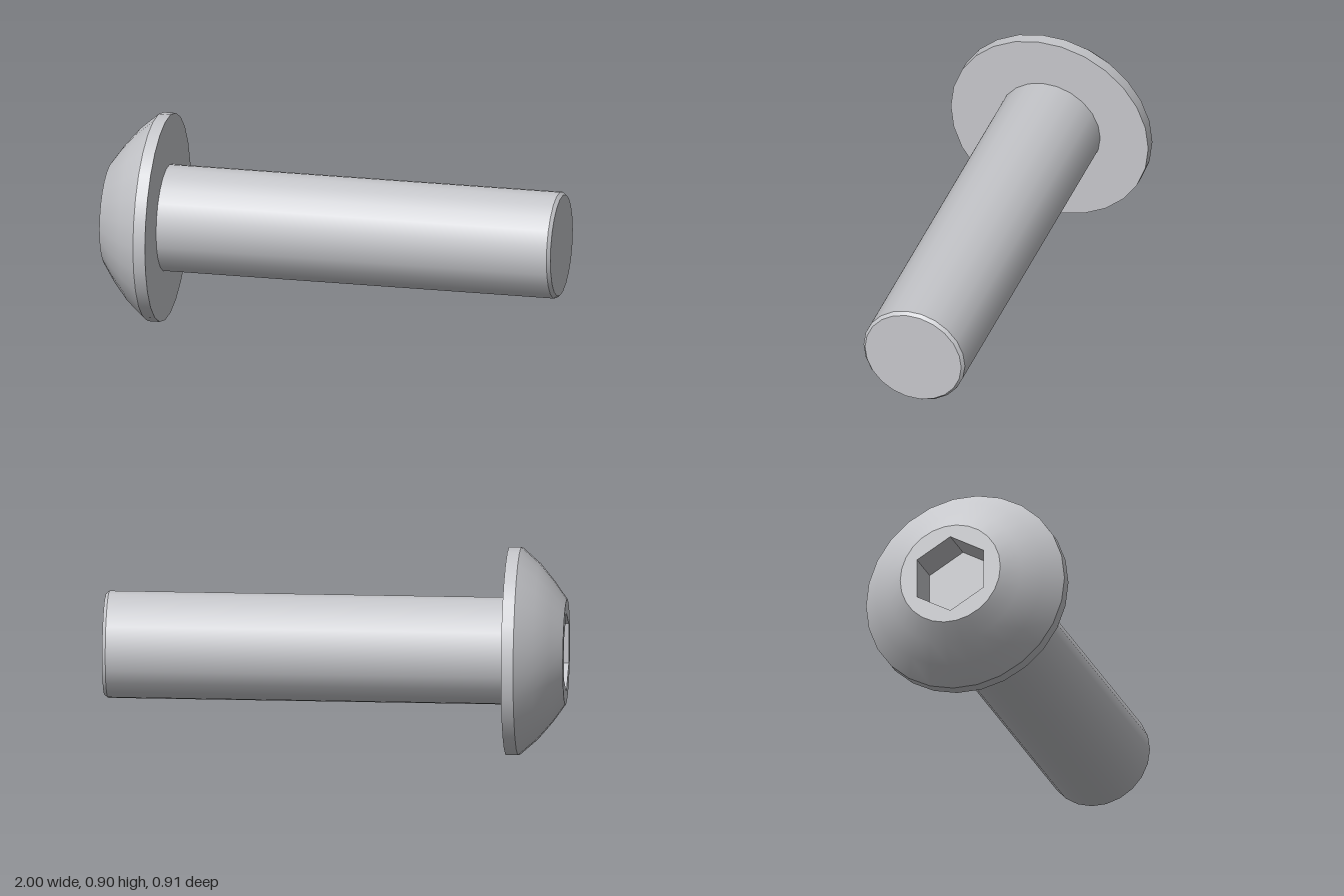
import * as THREE from 'three';

const AXIS_Y = 0.453; // height of the bolt's axis
const HEAD_SIDES = 26, SHANK_SIDES = 22;
const FACE_X = -1, FACE_R = 0.229, SOCKET_R = 0.176, SOCKET_DEPTH = 0.17;

export function createModel() {
  const steel = new THREE.MeshStandardMaterial({ color: 0xc6c7cb });
  steel.name = 'steel';

  const model = new THREE.Group();
  model.name = 'buttonHeadBolt';
  const add = (name, geometry) => {
    const mesh = new THREE.Mesh(geometry, steel);
    mesh.name = name;
    mesh.position.y = AXIS_Y;
    model.add(mesh);
  };

  // Surface turned about the x axis from [x, radius] points; smooth inside one call, sharp between calls
  const turned = (points, sides, phase = 0) =>
    new THREE.LatheGeometry(points.map(([x, r]) => new THREE.Vector2(r, x)), sides, phase)
      .rotateZ(-Math.PI / 2);

  const polygon = (radius, sides, phase = 0) =>
    Array.from({ length: sides }, (_, i) => {
      const a = phase + (i / sides) * Math.PI * 2;
      return new THREE.Vector2(Math.cos(a) * radius, Math.sin(a) * radius);
    });

  // Head: flat face with a hexagonal opening, dome, rim and underside
  const face = new THREE.Shape(polygon(FACE_R, HEAD_SIDES));
  face.holes.push(new THREE.Path(polygon(SOCKET_R, 6, Math.PI / 2)));
  add('headFace', new THREE.ShapeGeometry(face).rotateY(-Math.PI / 2).translate(FACE_X, 0, 0));
  add('headDome', turned(
    [[FACE_X, FACE_R], [-0.945, 0.307], [-0.88, 0.384], [-0.8, 0.454]], HEAD_SIDES));
  add('headRim', turned([[-0.8, 0.454], [-0.747, 0.454]], HEAD_SIDES));
  add('headUnderside', turned([[-0.747, 0.454], [-0.747, 0]], HEAD_SIDES));

  // Hexagonal socket with flat walls and floor
  const floorX = FACE_X + SOCKET_DEPTH;
  const socket = turned(
    [[floorX, 0], [floorX, SOCKET_R], [FACE_X, SOCKET_R]], 6, Math.PI / 2).toNonIndexed();
  socket.computeVertexNormals();
  add('hexSocket', socket);

  // Shank with a small chamfer at its tip
  add('shank', turned([[-0.747, 0.233], [0.985, 0.233]], SHANK_SIDES));
  add('tipChamfer', turned([[0.985, 0.233], [1, 0.221]], SHANK_SIDES));
  add('tipFace', turned([[1, 0.221], [1, 0]], SHANK_SIDES));

  return model;
}
